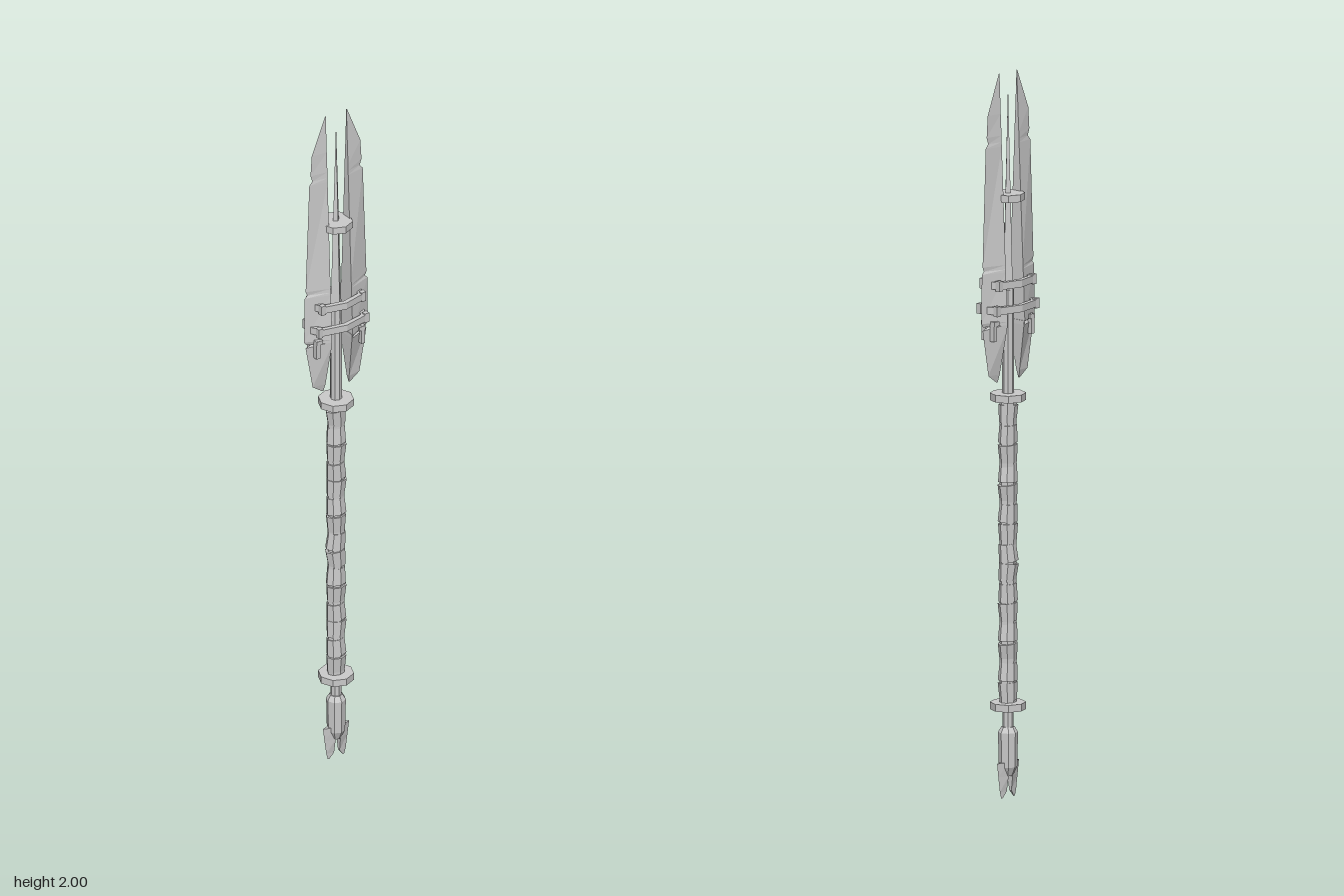
import * as THREE from 'three';

const material = new THREE.MeshStandardMaterial({ color: 0xcccccc, flatShading: true, side: THREE.DoubleSide });

function add(parent, name, geometry, x = 0, y = 0, z = 0) {
  const mesh = new THREE.Mesh(geometry, material);
  mesh.name = name;
  mesh.position.set(x, y, z);
  parent.add(mesh);
  return mesh;
}

// Joins horizontal rings of [x, y, z] points, ordered from bottom to top, and caps both ends.
function loft(rings) {
  const out = [];
  const tri = (a, b, c) => out.push(...a, ...b, ...c);
  const n = rings[0].length;
  for (let r = 0; r < rings.length - 1; r++) {
    for (let i = 0; i < n; i++) {
      const j = (i + 1) % n, a = rings[r], b = rings[r + 1];
      tri(a[i], a[j], b[j]);
      tri(a[i], b[j], b[i]);
    }
  }
  const low = rings[0], high = rings[rings.length - 1];
  for (let i = 1; i < n - 1; i++) {
    tri(low[0], low[i + 1], low[i]);
    tri(high[0], high[i], high[i + 1]);
  }
  const geometry = new THREE.BufferGeometry();
  geometry.setAttribute('position', new THREE.Float32BufferAttribute(out, 3));
  geometry.computeVertexNormals();
  return geometry;
}

// Wedge-section blade from rows of [y, inner x, outer x, half thickness of the inner face].
const wedge = rows => loft(rows.map(([y, inner, outer, t]) =>
  [[outer, y, 0], [inner, y, -t], [inner, y, t]]));

// Tapered bar with `sides` sides, spanning y0 to y1.
function bar(parent, name, y0, y1, r0, r1, sides = 8) {
  return add(parent, name, new THREE.CylinderGeometry(r1, r0, y1 - y0, sides), 0, (y0 + y1) / 2, 0);
}

// Hollow faceted band that ties the two blades together.
function band(w, d, height) {
  const outline = k => {
    const x = w - k, z = d - k;
    return [[x, 0], [x * 0.8, z * 0.7], [0, z], [-x * 0.8, z * 0.7],
      [-x, 0], [-x * 0.8, -z * 0.7], [0, -z], [x * 0.8, -z * 0.7]]
      .map(p => new THREE.Vector2(...p));
  };
  const shape = new THREE.Shape(outline(0));
  shape.holes.push(new THREE.Path(outline(0.014)));
  const geometry = new THREE.ExtrudeGeometry(shape, { depth: height, bevelEnabled: false });
  return geometry.translate(0, 0, -height / 2).rotateX(Math.PI / 2);
}

export function createModel() {
  const model = new THREE.Group();
  model.name = 'twinBladedSpear';

  // Shaft and centre spike
  bar(model, 'shaft', 0.15, 1.4, 0.015, 0.016);
  bar(model, 'centreSpike', 1.36, 1.95, 0.019, 0.0005, 4);

  // Faceted collars
  [[0.253, 0.049], [1.105, 0.049], [1.657, 0.046]].forEach(([y, r]) =>
    bar(model, 'collar', y - 0.01, y + 0.01, r, r));

  // Grip wrapping: slightly tilted, uneven overlapping bindings
  const grip = new THREE.Group();
  grip.name = 'grip';
  model.add(grip);
  const wraps = 15, step = 0.82 / wraps;
  for (let i = 0; i < wraps; i++) {
    const y = 0.268 + i * step;
    const flare = i % 2 ? 0.0025 : -0.001;
    const wrap = bar(grip, 'gripWrap', y, y + step * 0.9, 0.027 + flare, 0.029 - flare);
    wrap.scale.z = 0.8;
    wrap.rotation.z = 0.09 * Math.sin(i * 2.4);
    wrap.rotation.x = 0.05 * Math.cos(i * 1.7);
  }
  const core = bar(grip, 'gripCore', 0.26, 1.09, 0.025, 0.025);
  core.scale.z = 0.8;

  // Bands around the blades
  add(model, 'upperBand', band(0.08, 0.051, 0.02), 0, 1.423, 0);
  add(model, 'lowerBand', band(0.091, 0.053, 0.02), 0, 1.355, 0);

  // Pommel
  bar(model, 'pommelShoulder', 0.18, 0.195, 0.027, 0.018);
  bar(model, 'pommel', 0.085, 0.18, 0.025, 0.027);
  bar(model, 'pommelTip', 0.06, 0.085, 0.014, 0.025);

  // Blades, lower spurs, hooks and pommel fins: one side, then turned half round
  for (const side of ['left', 'right']) {
    const half = new THREE.Group();
    half.name = side + 'Half';
    half.rotation.y = side === 'left' ? 0 : Math.PI;
    model.add(half);

    add(half, 'blade', wedge([
      [1.31, 0.034, 0.098, 0.03], [1.32, 0.034, 0.105, 0.03],
      [1.455, 0.034, 0.103, 0.024], [1.463, 0.034, 0.095, 0.0235],
      [1.475, 0.034, 0.1, 0.023], [1.8, 0.034, 0.088, 0.009],
      [1.812, 0.034, 0.078, 0.0085], [1.83, 0.034, 0.084, 0.008],
      [1.89, 0.034, 0.08, 0.005], [2.0, 0.034, 0.036, 0.0005],
    ]));
    add(half, 'bladeSpur', wedge([
      [1.15, 0.042, 0.046, 0.001], [1.172, 0.039, 0.077, 0.006],
      [1.3, 0.033, 0.1, 0.028], [1.312, 0.033, 0.07, 0.029],
    ]));
    add(half, 'pommelFin', wedge([
      [0, 0.022, 0.027, 0.001], [0.018, 0.009, 0.032, 0.004],
      [0.06, 0.008, 0.038, 0.01], [0.098, 0.012, 0.043, 0.012],
    ]));

    // Small hooks and band ends on both faces
    for (const s of [1, -1]) {
      add(half, 'hook', new THREE.BoxGeometry(0.012, 0.055, 0.014), 0.074, 1.297, s * 0.016);
      add(half, 'hookHead', new THREE.BoxGeometry(0.02, 0.012, 0.014), 0.07, 1.318, s * 0.018);
      add(half, 'bandEnd', new THREE.BoxGeometry(0.014, 0.028, 0.014), 0.066, 1.423, s * 0.03);
      add(half, 'bandEnd', new THREE.BoxGeometry(0.014, 0.028, 0.014), 0.076, 1.355, s * 0.031);
    }
  }
  return model;
}
